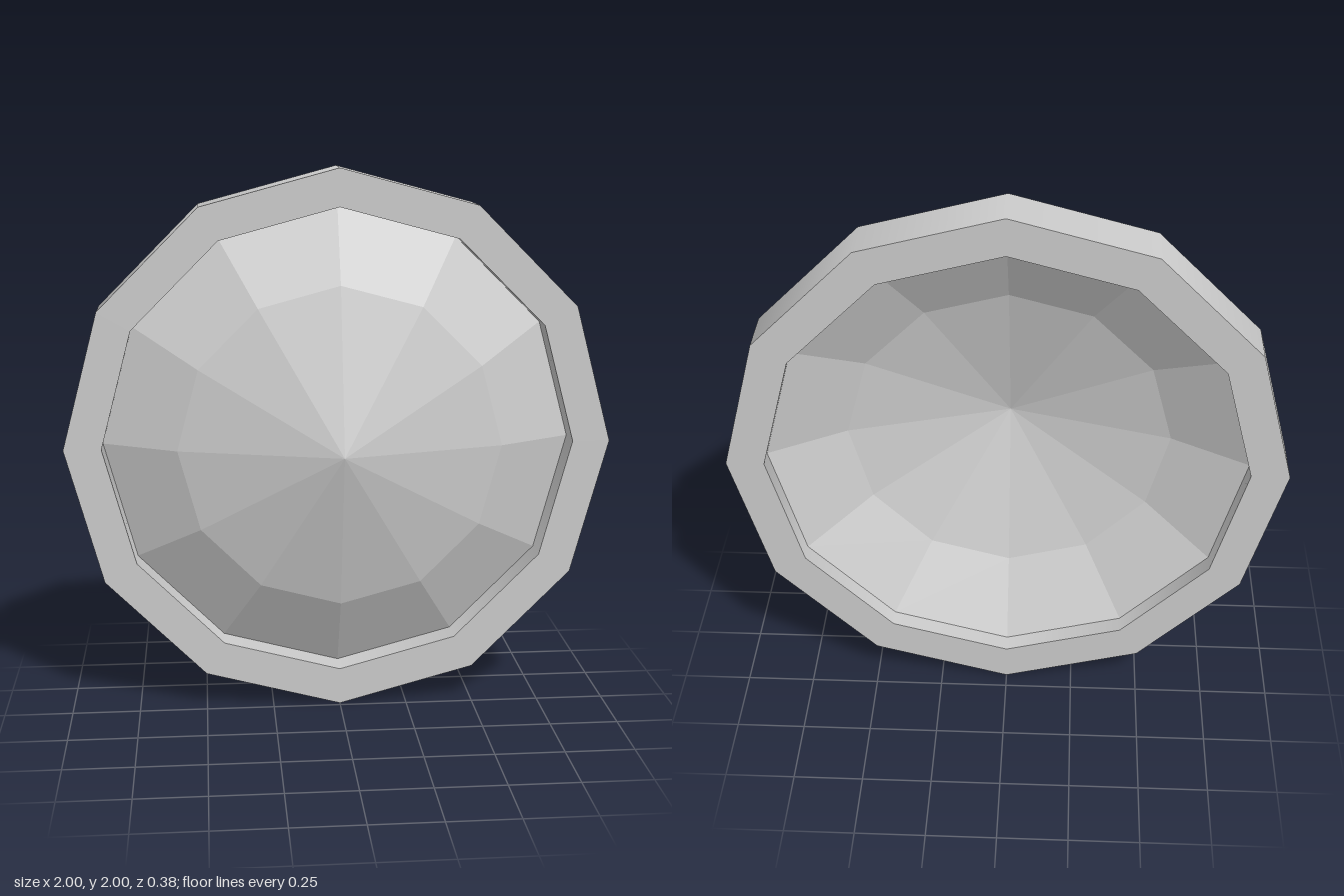
import * as THREE from 'three';
import { mergeGeometries } from 'three/addons/utils/BufferGeometryUtils.js';

const SIDES = 12;
const OUTER = 1, INNER = 0.863;
const BACK = -0.192, FRONT = -0.017;

// Revolve [radius, z] points about the z axis
function revolve(points) {
  const profile = points.map(([r, z]) => new THREE.Vector2(r, z));
  return new THREE.LatheGeometry(profile, SIDES).rotateX(Math.PI / 2);
}

export function createModel() {
  const model = new THREE.Group();
  model.name = 'facetedDisc';

  // Rim: a rectangular section, each wall its own band so the edges stay sharp
  const corners = [[OUTER, BACK], [OUTER, FRONT], [INNER, FRONT], [INNER, BACK]];
  const walls = corners.map((c, i) => revolve([c, corners[(i + 1) % 4]]));
  const rim = new THREE.Mesh(
    mergeGeometries(walls),
    new THREE.MeshStandardMaterial({ color: 0xcccccc })
  );
  rim.name = 'rim';

  // Lens: a thin faceted shell, hollow behind, set inside the rim
  const lens = new THREE.Mesh(
    revolve([[INNER, -0.125], [0.59, 0.027], [0, 0.192]]),
    new THREE.MeshStandardMaterial({ color: 0xcccccc, flatShading: true, side: THREE.DoubleSide })
  );
  lens.name = 'lens';

  model.add(rim, lens);
  model.position.y = 1;

  const root = new THREE.Group();
  root.name = 'model';
  root.add(model);
  return root;
}
